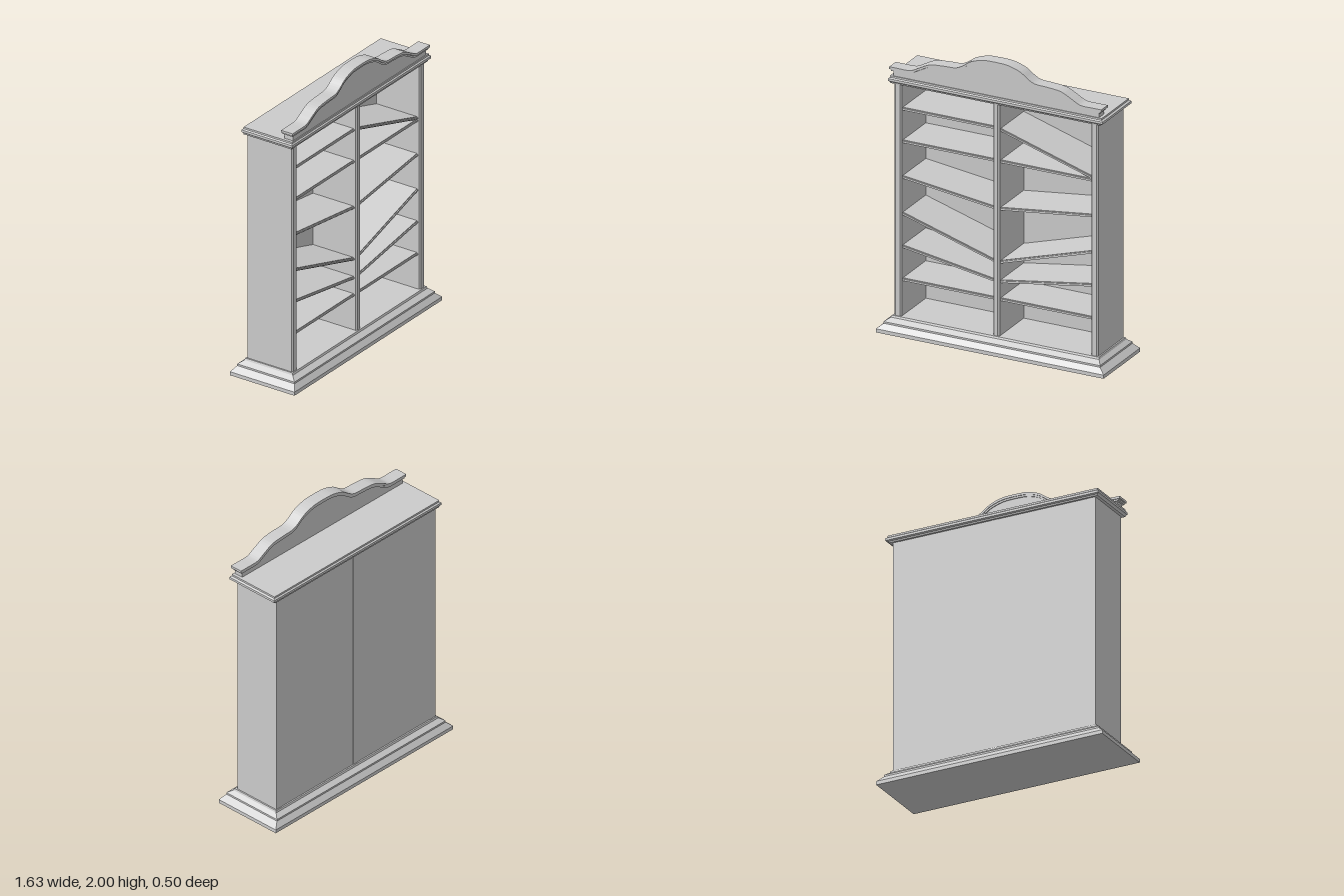
import * as THREE from 'three';

const mat = new THREE.MeshStandardMaterial({ color: 0xcccccc, flatShading: true });
const CX = 0.004; // centre of the carcass

export function createModel() {
  const root = new THREE.Group();
  root.name = 'bookcase';

  const add = (name, geo) => {
    const m = new THREE.Mesh(geo, mat);
    m.name = name;
    root.add(m);
    return m;
  };
  const box = (name, x0, x1, y0, y1, z0, z1) => {
    const g = new THREE.BoxGeometry(x1 - x0, y1 - y0, z1 - z0);
    g.translate((x0 + x1) / 2, (y0 + y1) / 2, (z0 + z1) / 2);
    return add(name, g);
  };

  // Stacked rectangles [cx, halfX, y, zBack, zFront], joined and capped: mitred mouldings
  const moulding = (name, rings) => {
    const pos = [];
    const idx = [];
    for (const [cx, hx, y, zb, zf] of rings) {
      pos.push(cx - hx, y, zf, cx + hx, y, zf, cx + hx, y, zb, cx - hx, y, zb);
    }
    for (let r = 0; r < rings.length - 1; r++) {
      for (let i = 0; i < 4; i++) {
        const a = r * 4 + i, b = r * 4 + (i + 1) % 4;
        idx.push(a, b, b + 4, a, b + 4, a + 4);
      }
    }
    const t = (rings.length - 1) * 4;
    idx.push(0, 2, 1, 0, 3, 2, t, t + 1, t + 2, t, t + 2, t + 3);
    const g = new THREE.BufferGeometry();
    g.setAttribute('position', new THREE.Float32BufferAttribute(pos, 3));
    g.setIndex(idx);
    const flat = g.toNonIndexed();
    flat.computeVertexNormals();
    return add(name, flat);
  };

  // Plinth
  moulding('plinth', [
    [0, 0.815, 0, -0.25, 0.25],
    [0, 0.815, 0.025, -0.25, 0.25],
    [0, 0.775, 0.06, -0.222, 0.222],
    [0, 0.775, 0.072, -0.222, 0.222],
    [CX, 0.745, 0.095, -0.19, 0.185],
    [CX, 0.74, 0.108, -0.186, 0.18],
  ]);

  // Cornice
  moulding('cornice', [
    [CX, 0.752, 1.705, -0.19, 0.18],
    [CX, 0.755, 1.715, -0.192, 0.183],
    [0.01, 0.768, 1.722, -0.2, 0.192],
    [0.01, 0.768, 1.738, -0.2, 0.192],
    [0.008, 0.757, 1.745, -0.19, 0.183],
    [0.008, 0.757, 1.757, -0.19, 0.183],
  ]);

  // Carcass: sides, divider and back
  const Y0 = 0.1, Y1 = 1.712, ZB = -0.178, ZF = 0.152;
  box('rightSide', CX - 0.73, CX - 0.678, Y0, Y1, ZB, ZF);
  box('leftSide', CX + 0.678, CX + 0.73, Y0, Y1, ZB, ZF);
  box('divider', CX - 0.023, CX + 0.023, Y0, Y1, ZB, ZF);
  box('rightBackPanel', CX - 0.679, CX - 0.022, Y0, Y1, ZB + 0.002, ZB + 0.014);
  box('leftBackPanel', CX + 0.022, CX + 0.679, Y0, Y1, ZB + 0.002, ZB + 0.014);

  // Upright facings with bevelled edges
  const facing = (name, x, w) => {
    const s = new THREE.Shape([
      [-w, 0], [w, 0], [w, 0.012], [w - 0.01, 0.021], [-w + 0.01, 0.021], [-w, 0.012],
    ].map(([px, py]) => new THREE.Vector2(px, -py)));
    const g = new THREE.ExtrudeGeometry(s, { depth: Y1 - Y0, bevelEnabled: false });
    g.rotateX(-Math.PI / 2);
    add(name, g).position.set(x, Y0, ZF);
  };
  facing('rightFacing', CX - 0.704, 0.026);
  facing('leftFacing', CX + 0.704, 0.026);
  facing('dividerFacing', CX, 0.023);

  // Shelves: centre height at the outer and the inner end, sheared to keep upright ends
  const shelves = {
    right: [[1.53, 1.53], [1.305, 1.305], [1.06, 0.978], [0.808, 0.612], [0.582, 0.478], [0.355, 0.355]],
    left: [[1.322, 1.522], [1.305, 1.305], [1.06, 0.978], [0.81, 0.612], [0.582, 0.478], [0.355, 0.355]],
  };
  for (const [sideName, list] of Object.entries(shelves)) {
    const side = sideName === 'left' ? 1 : -1;
    list.forEach(([outer, inner], i) => {
      const slope = side * (outer - inner) / 0.657;
      const shear = new THREE.Matrix4().set(1, 0, 0, 0, slope, 1, 0, 0, 0, 0, 1, 0, 0, 0, 0, 1);
      const piece = (name, h, z0, z1) => {
        const g = new THREE.BoxGeometry(0.657, h, z1 - z0);
        g.applyMatrix4(shear);
        add(name, g).position.set(CX + side * 0.3505, (outer + inner) / 2, (z0 + z1) / 2);
      };
      piece(`${sideName}Shelf${i + 1}`, 0.022, -0.166, 0.148);
      piece(`${sideName}ShelfNosing${i + 1}`, 0.01, 0.147, 0.155);
    });
  }

  // Pediment: one wavy outline shared by the board and its cap mouldings
  const PX = 0.008;
  const half = new THREE.CatmullRomCurve3([
    [0, 2], [0.09, 1.995], [0.18, 1.966], [0.235, 1.928], [0.28, 1.906], [0.37, 1.9],
    [0.47, 1.889], [0.54, 1.856], [0.6, 1.825], [0.63, 1.82], [0.7, 1.82], [0.76, 1.82],
  ].map(([x, y]) => new THREE.Vector3(x, y, 0)), false, 'centripetal').getPoints(44);
  const outline = (hx, drop) => {
    const right = half.map((p) => new THREE.Vector2(p.x * hx / 0.76, p.y - drop));
    const left = right.slice(1).reverse().map((p) => new THREE.Vector2(-p.x, p.y));
    return [...left, ...right];
  };
  const slab = (name, hx, drop, thick, z0, z1) => {
    const top = outline(hx, drop);
    const bottom = thick === null
      ? [new THREE.Vector2(hx, 1.75), new THREE.Vector2(-hx, 1.75)]
      : outline(hx, drop + thick).reverse();
    const g = new THREE.ExtrudeGeometry(new THREE.Shape([...top, ...bottom]),
      { depth: z1 - z0, bevelEnabled: false });
    add(name, g).position.set(PX, 0, z0);
  };
  slab('pedimentBoard', 0.736, 0.012, null, 0.112, 0.177);
  slab('pedimentCap', 0.759, 0, 0.016, 0.101, 0.19);
  slab('pedimentCapBead', 0.749, 0.015, 0.013, 0.106, 0.184);

  return root;
}
